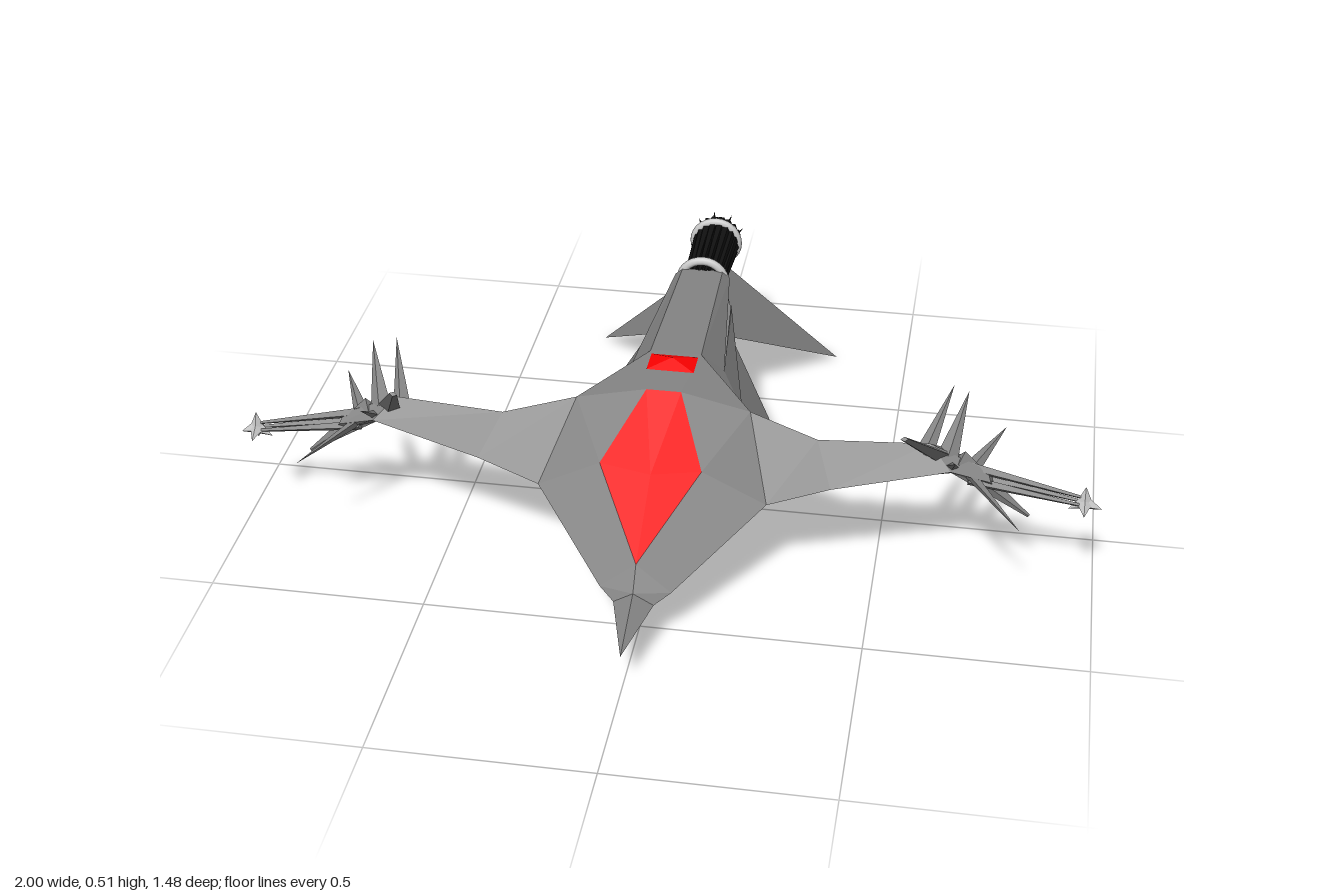
import * as THREE from 'three';

const mat = (color) => new THREE.MeshStandardMaterial({ color, flatShading: true, side: THREE.DoubleSide });
const GREY = mat(0x858585), LIGHT = mat(0xcccccc), RED = mat(0xff0000), BLACK = mat(0x111111);

// Named corner points of the left half (+x); the right half is mirrored
const P = {
  nose: [0, 0.097, 0.735], noseTop: [0, 0.15, 0.58], noseSide: [0.045, 0.12, 0.575],
  cheek: [0.08, 0.14, 0.55], shoulder: [0.26, 0.25, 0.34],
  canopyLow: [0, 0.2, 0.54], canopySide: [0.115, 0.33, 0.35], canopyTop: [0.04, 0.42, 0.17],
  canopyTopMid: [0, 0.42, 0.17], canopyMid: [0, 0.31, 0.35],
  hump: [0.2, 0.39, 0.18], wingBack: [0.22, 0.32, 0.12],
  roof: [0.06, 0.42, 0], roofMid: [0, 0.42, 0],
  roofEnd: [0.05, 0.417, -0.41], roofEndMid: [0, 0.417, -0.41], roofLip: [0.068, 0.4, -0.41],
  slot: [0.11, 0.363, -0.03], deck: [0.165, 0.31, 0.05], deckMid: [0, 0.31, 0.05],
  deckEnd: [0.075, 0.305, -0.41], deckLip: [0.072, 0.328, -0.41], deckEndMid: [0, 0.305, -0.41],
  plate: [0.295, 0.215, 0.135], plateEnd: [0.075, 0.23, -0.41], tail: [0, 0.31, -0.67],
  keel: [0, 0.05, 0.42], chine: [0.085, 0.1, 0.42], belly: [0.15, 0.14, 0.17], keelEnd: [0, 0.205, -0.38],
  finTip: [0.315, 0, -0.74],
  ventralA: [0.03, 0.21, -0.36], ventralTip: [0.09, 0.15, -0.39], ventralB: [0.06, 0.235, -0.47],
};

// Hull panels: front and shoulders, tail, then underside
const HULL = [
  [P.noseTop, P.cheek, P.canopyLow], [P.cheek, P.canopySide, P.canopyLow], [P.cheek, P.shoulder, P.canopySide],
  [P.shoulder, P.hump, P.canopySide], [P.canopySide, P.hump, P.canopyTop], [P.canopyTop, P.hump, P.roof],
  [P.canopyTop, P.roof, P.roofMid, P.canopyTopMid],
  [P.hump, P.deck, P.roof], [P.hump, P.wingBack, P.deck], [P.wingBack, P.plate, P.deck],
  [P.deck, P.plate, P.plateEnd], [P.deck, P.plateEnd, P.deckEnd], [P.deckEnd, P.plateEnd, P.tail],
  [P.roof, P.roofEnd, P.roofEndMid, P.roofMid], [P.roof, P.slot, P.roofLip, P.roofEnd], [P.roof, P.deck, P.slot],
  [P.slot, P.deck, P.deckEnd, P.deckLip], [P.deckMid, P.deck, P.deckEnd, P.deckEndMid],
  [P.deckEndMid, P.deckEnd, P.tail],
  [P.nose, P.noseSide, P.noseTop], [P.noseTop, P.noseSide, P.cheek], [P.nose, P.keel, P.noseSide],
  [P.noseSide, P.keel, P.chine], [P.noseSide, P.chine, P.cheek], [P.cheek, P.chine, P.shoulder],
  [P.chine, P.belly, P.shoulder], [P.shoulder, P.belly, P.plate], [P.belly, P.plateEnd, P.plate],
  [P.keel, P.belly, P.chine], [P.keel, P.keelEnd, P.belly], [P.belly, P.keelEnd, P.plateEnd],
  [P.keelEnd, P.tail, P.plateEnd],
];
const CANOPY = [
  [P.canopyTopMid, P.canopyMid, P.canopyTop], [P.canopyTop, P.canopyMid, P.canopySide],
  [P.canopySide, P.canopyMid, P.canopyLow],
];
const FINS = [[P.plateEnd, P.tail, P.finTip], [P.ventralA, P.ventralTip, P.ventralB]];

// Mesh from polygons given as lists of points, triangulated as fans
function polyMesh(name, polys, material) {
  const pos = [];
  for (const p of polys)
    for (let i = 1; i < p.length - 1; i++) pos.push(...p[0], ...p[i], ...p[i + 1]);
  const g = new THREE.BufferGeometry();
  g.setAttribute('position', new THREE.Float32BufferAttribute(pos, 3));
  g.computeVertexNormals();
  const mesh = new THREE.Mesh(g, material);
  mesh.name = name;
  return mesh;
}
// Polygons together with their mirrored copies, whose corner order is reversed
const both = (polys) => [...polys, ...polys.map((p) => p.map(([x, y, z]) => [-x, y, z]).reverse())];

// Tapered bar or spike between two points, optionally flattened
function spike(name, a, b, r0, r1, material, sides = 4, flat = 1) {
  const A = new THREE.Vector3(...a), d = new THREE.Vector3(...b).sub(A);
  const g = new THREE.CylinderGeometry(r1, r0, d.length(), sides);
  g.scale(1, 1, flat);
  const m = new THREE.Mesh(g, material);
  m.name = name;
  m.position.copy(A).addScaledVector(d, 0.5);
  m.quaternion.setFromUnitVectors(new THREE.Vector3(0, 1, 0), d.normalize());
  return m;
}

// Wing sections: front, top, back, bottom
const SECTIONS = [
  [P.shoulder, P.hump, P.wingBack, P.plate],
  [[0.4, 0.3, 0.33], [0.36, 0.37, 0.24], [0.37, 0.33, 0.2], [0.4, 0.255, 0.24]],
  [[0.66, 0.335, 0.27], [0.61, 0.383, 0.235], [0.66, 0.35, 0.2], [0.66, 0.31, 0.235]],
  [[0.75, 0.3, 0.245], [0.74, 0.32, 0.225], [0.75, 0.3, 0.21], [0.76, 0.27, 0.225]],
];
function wingPolys() {
  const polys = [];
  for (let s = 0; s < SECTIONS.length - 1; s++)
    for (let i = 0; i < 4; i++) {
      const j = (i + 1) % 4, a = SECTIONS[s], b = SECTIONS[s + 1];
      polys.push([a[i], b[i], b[j], a[j]]);
    }
  polys.push(SECTIONS.at(-1));
  return polys;
}

// Thorns around the wing tip: base, tip, base radius, tip radius
const THORNS = [
  [[0.63, 0.35, 0.23], [0.56, 0.505, 0.415], 0.026, 0.009],
  [[0.65, 0.35, 0.23], [0.685, 0.47, 0.14], 0.024, 0],
  [[0.6, 0.36, 0.23], [0.65, 0.44, 0.07], 0.02, 0],
  [[0.67, 0.34, 0.23], [0.84, 0.19, 0.2], 0.03, 0.004],
  [[0.7, 0.3, 0.22], [0.83, 0.21, 0.11], 0.02, 0],
  [[0.7, 0.31, 0.22], [0.775, 0.34, 0.07], 0.02, 0],
  [[0.7, 0.31, 0.23], [0.82, 0.26, 0.365], 0.02, 0],
  [[0.66, 0.33, 0.24], [0.67, 0.39, 0.32], 0.018, 0],
];

function wingTip(name) {
  const g = new THREE.Group();
  g.name = name;
  THORNS.forEach(([a, b, r0, r1]) => g.add(spike('thorn', a, b, r0, r1, GREY, 4, 0.6)));
  // Thin barrels leading to the emitter
  for (const [dy, dz] of [[0.015, 0], [-0.012, 0.014], [-0.012, -0.014]])
    g.add(spike('barrel', [0.7, 0.31 + dy, 0.225 + dz], [0.95, 0.255 + dy * 0.6, 0.215 + dz * 0.6], 0.012, 0.004, GREY));
  // Star-shaped emitter
  const c = [0.96, 0.25, 0.215];
  for (const [x, y, z] of [[0.04, -0.015, 0], [-0.035, -0.02, 0], [0, 0.042, 0], [0, -0.025, 0], [0, -0.01, 0.045], [0, -0.01, -0.04]])
    g.add(spike('emitter', c, [c[0] + x, c[1] + y, c[2] + z], 0.018, 0, LIGHT));
  return g;
}

// Dark engine core with long ragged needles reaching forward
function engine() {
  const g = new THREE.Group(), cy = 0.372;
  g.name = 'engine';
  g.add(spike('engineCore', [0, cy, -0.67], [0, cy, -0.56], 0.055, 0.05, BLACK, 16));
  const n = 18;
  for (let i = 0; i < n; i++) {
    const a = (i / n) * Math.PI * 2, c = Math.cos(a), s = Math.sin(a);
    const reach = [-0.06, -0.4, -0.22, -0.46, -0.14, -0.36][(i * 5 + (i % 4)) % 6];
    g.add(spike('needle', [c * 0.049, cy + s * 0.049, -0.67], [c * 0.042, cy + s * 0.036, reach], 0.013, 0, BLACK, 5));
    if (i % 2) g.add(spike('barb', [c * 0.05, cy + s * 0.05, -0.66], [c * 0.068, cy + s * 0.068, -0.685], 0.006, 0, BLACK, 3));
  }
  for (const [z, y] of [[-0.415, 0.383], [-0.64, 0.375]]) {
    const ring = new THREE.Mesh(new THREE.TorusGeometry(0.056, 0.011, 8, 28), new THREE.MeshStandardMaterial({ color: 0xcccccc }));
    ring.name = 'engineRing';
    ring.position.set(0, y, z);
    g.add(ring);
  }
  return g;
}

export function createModel() {
  const model = new THREE.Group();
  model.name = 'spacecraft';
  model.add(polyMesh('hull', both(HULL), GREY));
  model.add(polyMesh('canopy', both(CANOPY), RED));
  model.add(polyMesh('tailFins', both(FINS), GREY));
  model.add(polyMesh('wings', both(wingPolys()), GREY));

  // Low pyramid hatch on the roof
  const hatch = new THREE.Mesh(new THREE.ConeGeometry(Math.SQRT1_2, 1, 4).rotateY(Math.PI / 4), RED);
  hatch.name = 'roofHatch';
  hatch.scale.set(0.11, 0.016, 0.07);
  hatch.position.set(0, 0.429, 0.05);
  model.add(hatch);

  // Wing tips, the right one mirrored
  const right = wingTip('rightWingTip');
  right.scale.x = -1;
  model.add(wingTip('leftWingTip'), right);
  model.add(engine());
  return model;
}
